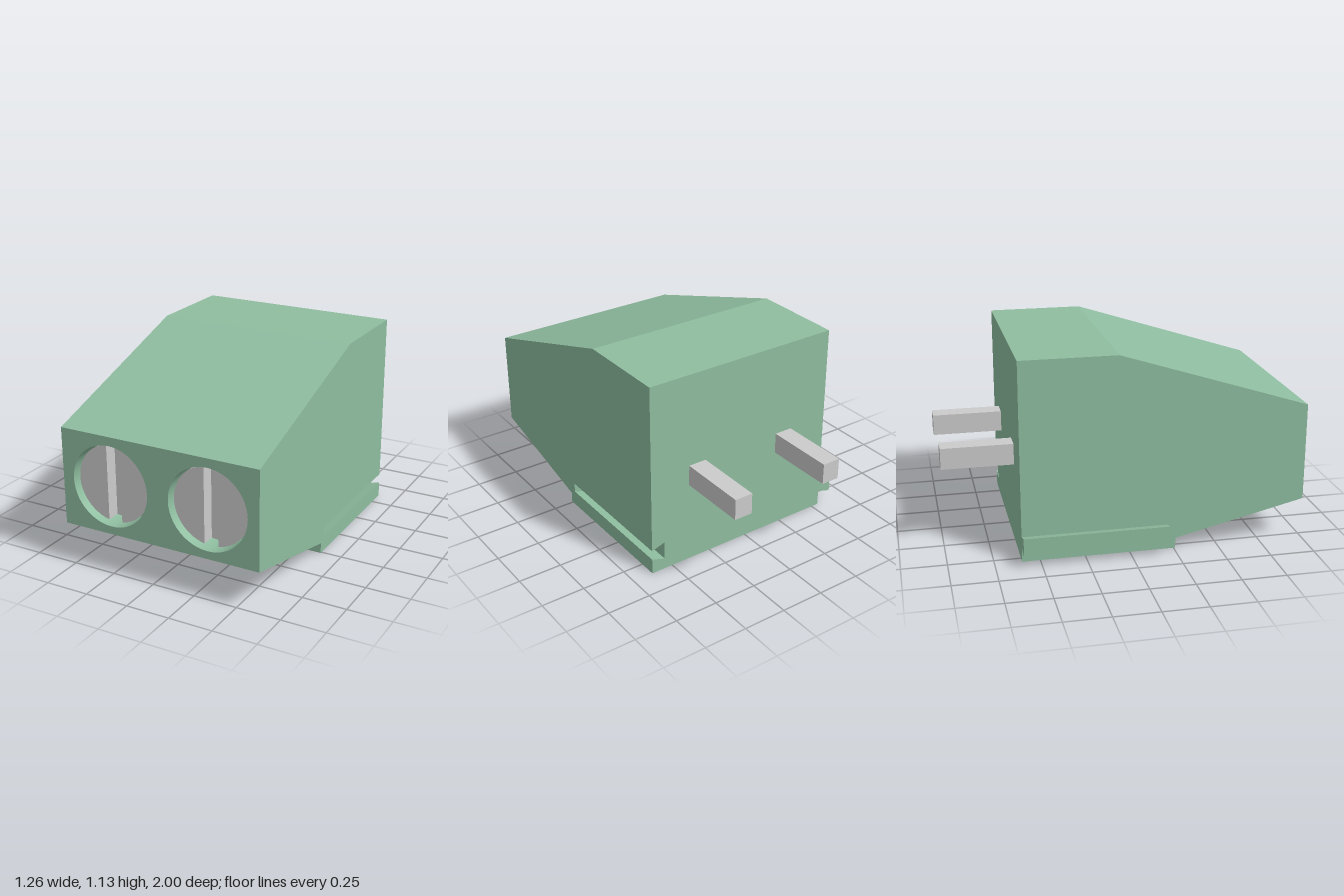
import * as THREE from 'three';
import { mergeGeometries } from 'three/addons/utils/BufferGeometryUtils.js';

const green = new THREE.MeshStandardMaterial({ color: 0x8fbea0, side: THREE.DoubleSide });
const grey = new THREE.MeshStandardMaterial({ color: 0xcccccc });

const XL = -0.545, XR = 0.63, ZB = -0.6;   // housing sides and back
const poles = [-0.25, 0.335];              // x of the two terminals
const SY = 0.51, HOLE_R = 0.23, SCREW_R = 0.218;

const toShape = pts => new THREE.Shape(pts.map(p => new THREE.Vector2(p[0], p[1])));

// Flat panel: a 2D outline with holes, placed in space by a mapping rule
function panel(pts, map, holes = []) {
  const shape = toShape(pts);
  shape.holes.push(...holes);
  const g = new THREE.ShapeGeometry(shape, 24).toNonIndexed();
  const p = g.attributes.position;
  for (let i = 0; i < p.count; i++) p.setXYZ(i, ...map(p.getX(i), p.getY(i)));
  g.deleteAttribute('uv');
  g.computeVertexNormals();
  return g;
}

// Flat four-sided face
function quad(a, b, c, d) {
  const g = new THREE.BufferGeometry();
  g.setAttribute('position', new THREE.Float32BufferAttribute([a, b, c, a, c, d].flat(), 3));
  g.computeVertexNormals();
  return g;
}

function add(group, name, geometry, material, x = 0, y = 0, z = 0) {
  const m = new THREE.Mesh(geometry, material);
  m.name = name;
  m.position.set(x, y, z);
  group.add(m);
  return m;
}

function housing() {
  const parts = [];
  // Side profile as [z, y]
  const profile = [[1, 0.235], [1, 0.79], [-0.06, 1.13], [ZB, 1.13], [ZB, 0], [0.26, 0], [0.26, 0.06]];
  // Dovetail groove as [x, y], running along z
  const groove = [[XR, 0.145], [0.55, 0.17], [0.55, 0.065], [XR, 0.09]];
  const grooveEnd = 0.22;

  // Sides; the left one is cut by the groove mouth
  parts.push(panel(profile, (z, y) => [XL, y, z]));
  const slotted = [...profile];
  slotted.splice(4, 0, [ZB, 0.145], [grooveEnd, 0.145], [grooveEnd, 0.09], [ZB, 0.09]);
  parts.push(panel(slotted, (z, y) => [XR, y, z]));

  // Plain faces: sloped roof, top, step and sloped underside
  for (const i of [1, 2, 5, 6]) {
    const [z0, y0] = profile[i], [z1, y1] = profile[(i + 1) % profile.length];
    parts.push(quad([XL, y0, z0], [XR, y0, z0], [XR, y1, z1], [XL, y1, z1]));
  }

  // Front with round screw openings
  const circles = poles.map(x => new THREE.Path().absarc(x, SY, HOLE_R, 0, Math.PI * 2, true));
  parts.push(panel([[XL, 0.235], [XR, 0.235], [XR, 0.79], [XL, 0.79]], (x, y) => [x, y, 1], circles));

  // Back with the groove notch
  parts.push(panel([[XL, 0], [XL, 1.13], [XR, 1.13], ...groove, [XR, 0]], (x, y) => [x, y, ZB]));
  for (let i = 0; i < 3; i++) {
    const [a, b] = groove[i], [c, d] = groove[i + 1];
    parts.push(quad([a, b, ZB], [c, d, ZB], [c, d, grooveEnd], [a, b, grooveEnd]));
  }
  parts.push(panel(groove, (x, y) => [x, y, grooveEnd]));

  // Wire entries below: a rectangular funnel leading into a square shaft
  const rect = (cx, hw, hd) => [[-hw, -hd], [hw, -hd], [hw, hd], [-hw, hd]].map(([x, z]) => [cx + x, z - 0.125]);
  const mouths = poles.map(x => new THREE.Path(rect(x, 0.21, 0.298).map(p => new THREE.Vector2(...p))));
  parts.push(panel([[XL, ZB], [XR, ZB], [XR, 0.26], [XL, 0.26]], (x, z) => [x, 0, z], mouths));
  for (const cx of poles) {
    const rings = [[0.21, 0.298, 0], [0.11, 0.11, 0.08], [0.11, 0.11, 0.5]];
    for (let r = 0; r < 2; r++) {
      const [w0, d0, y0] = rings[r], [w1, d1, y1] = rings[r + 1];
      const lo = rect(cx, w0, d0), hi = rect(cx, w1, d1);
      for (let i = 0; i < 4; i++) {
        const j = (i + 1) % 4;
        parts.push(quad([lo[i][0], y0, lo[i][1]], [lo[j][0], y0, lo[j][1]],
          [hi[j][0], y1, hi[j][1]], [hi[i][0], y1, hi[i][1]]));
      }
    }
    parts.push(panel(rect(cx, 0.11, 0.11), (x, z) => [x, 0.5, z]));
  }
  return mergeGeometries(parts.map(g => { g.deleteAttribute('uv'); return g; }));
}

// Slotted screw facing +z, head top at z = 0
function screw() {
  const g = new THREE.Group();
  g.name = 'screw';
  const slotHalf = 0.041, slotDepth = 0.075;
  const shank = new THREE.CylinderGeometry(SCREW_R, SCREW_R, 0.35, 48).rotateX(Math.PI / 2);
  add(g, 'screwShank', shank, grey, 0, 0, -slotDepth - 0.175);
  const a = Math.acos(slotHalf / SCREW_R);
  for (const turn of [0, Math.PI]) {
    const s = new THREE.Shape().absarc(0, 0, SCREW_R, -a, a, false);
    const half = new THREE.ExtrudeGeometry(s, { depth: slotDepth, bevelEnabled: false, curveSegments: 24 });
    add(g, 'screwHeadHalf', half.rotateZ(turn), grey, 0, 0, -slotDepth);
  }
  return g;
}

export function createModel() {
  const model = new THREE.Group();
  model.name = 'terminalBlock';
  add(model, 'housing', housing(), green);

  // Dovetail rail on the right side, matching the groove
  const railShape = toShape([[XL, 0.09], [XL, 0.145], [-0.63, 0.17], [-0.63, 0.065]]);
  add(model, 'dovetailRail', new THREE.ExtrudeGeometry(railShape, { depth: 0.81, bevelEnabled: false }), green, 0, 0, ZB);

  for (const x of poles) {
    // Screw well with its floor
    const well = new THREE.CylinderGeometry(HOLE_R, HOLE_R, 0.4, 48, 1, true).rotateX(Math.PI / 2);
    add(model, 'screwWell', well, green, x, SY, 0.8);
    add(model, 'screwWellFloor', new THREE.CircleGeometry(HOLE_R, 48), green, x, SY, 0.6);

    const s = screw();
    s.position.set(x, SY, 0.96);
    model.add(s);

    // Solder pin at the back
    add(model, 'pin', new THREE.BoxGeometry(0.106, 0.12, 0.4), grey, x, 0.535, -0.8);
  }
  return model;
}
